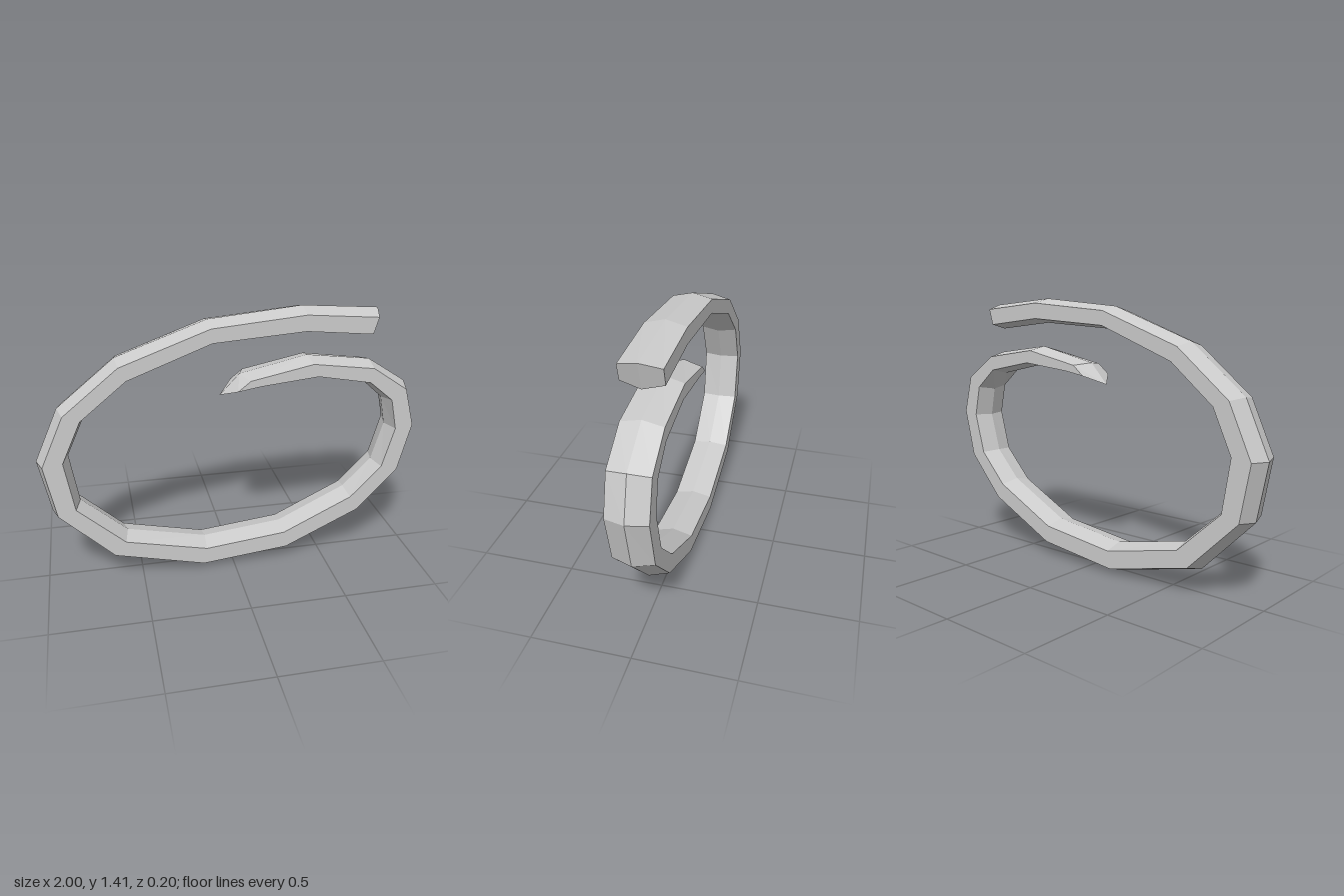
import * as THREE from 'three';

const HALF_DEPTH = 0.1;

// Stations along the curl: outer ridge x, y, inner ridge x, y, optional side-edge shift x, y
const STATIONS = [
  [0.76, 1.38, 0.72, 1.245, -0.02, 0],
  [0.36, 1.41, 0.36, 1.28],
  [-0.12, 1.365, -0.11, 1.25],
  [-0.58, 1.2, -0.525, 1.09],
  [-0.875, 0.96, -0.745, 0.91],
  [-1, 0.685, -0.84, 0.705],
  [-0.945, 0.4, -0.8, 0.445],
  [-0.665, 0.12, -0.567, 0.238],
  [-0.175, 0, -0.15, 0.147],
  [0.295, 0.05, 0.273, 0.195],
  [0.705, 0.243, 0.637, 0.372],
  [0.935, 0.49, 0.79, 0.527],
  [1, 0.76, 0.85, 0.735],
  [0.94, 0.976, 0.82, 0.89],
  [0.733, 1.11, 0.71, 0.99],
  [0.395, 1.152, 0.44, 1.045],
  [0.043, 1.075, 0.128, 1.024, 0.02, 0],
  [-0.06, 0.967, -0.06, 0.967, 0.075, 0.046], // pointed tip
];

// Hexagonal section: ridges at z = 0, flat sides at +-HALF_DEPTH
function section([ox, oy, ix, iy, sx = 0, sy = 0]) {
  const at = (t, z) => new THREE.Vector3(
    ox + (ix - ox) * t + (z ? sx : 0),
    oy + (iy - oy) * t + (z ? sy : 0),
    z
  );
  return [
    at(0, 0), at(0.2, HALF_DEPTH), at(0.83, HALF_DEPTH),
    at(1, 0), at(0.83, -HALF_DEPTH), at(0.2, -HALF_DEPTH),
  ];
}

function curlGeometry() {
  const rings = STATIONS.map(section);
  const points = [];
  const tri = (a, b, c) => {
    if (new THREE.Triangle(a, b, c).getArea() > 1e-7) points.push(a, b, c);
  };

  // Skin between neighbouring sections
  for (let i = 0; i < rings.length - 1; i++) {
    for (let j = 0; j < 6; j++) {
      const k = (j + 1) % 6;
      const a = rings[i][j], b = rings[i][k];
      const c = rings[i + 1][k], d = rings[i + 1][j];
      tri(a, d, c);
      tri(a, c, b);
    }
  }

  // Blunt end, folded along its middle
  const [outer, f1, f2, inner, b2, b1] = rings[0];
  tri(outer, f1, f2);
  tri(outer, f2, inner);
  tri(outer, inner, b2);
  tri(outer, b2, b1);

  const geometry = new THREE.BufferGeometry().setFromPoints(points);
  geometry.computeVertexNormals();
  return geometry;
}

export function createModel() {
  const model = new THREE.Group();
  model.name = 'spiralCurl';
  const curl = new THREE.Mesh(
    curlGeometry(),
    new THREE.MeshStandardMaterial({ color: 0xcccccc, flatShading: true })
  );
  curl.name = 'curledBar';
  model.add(curl);
  return model;
}
